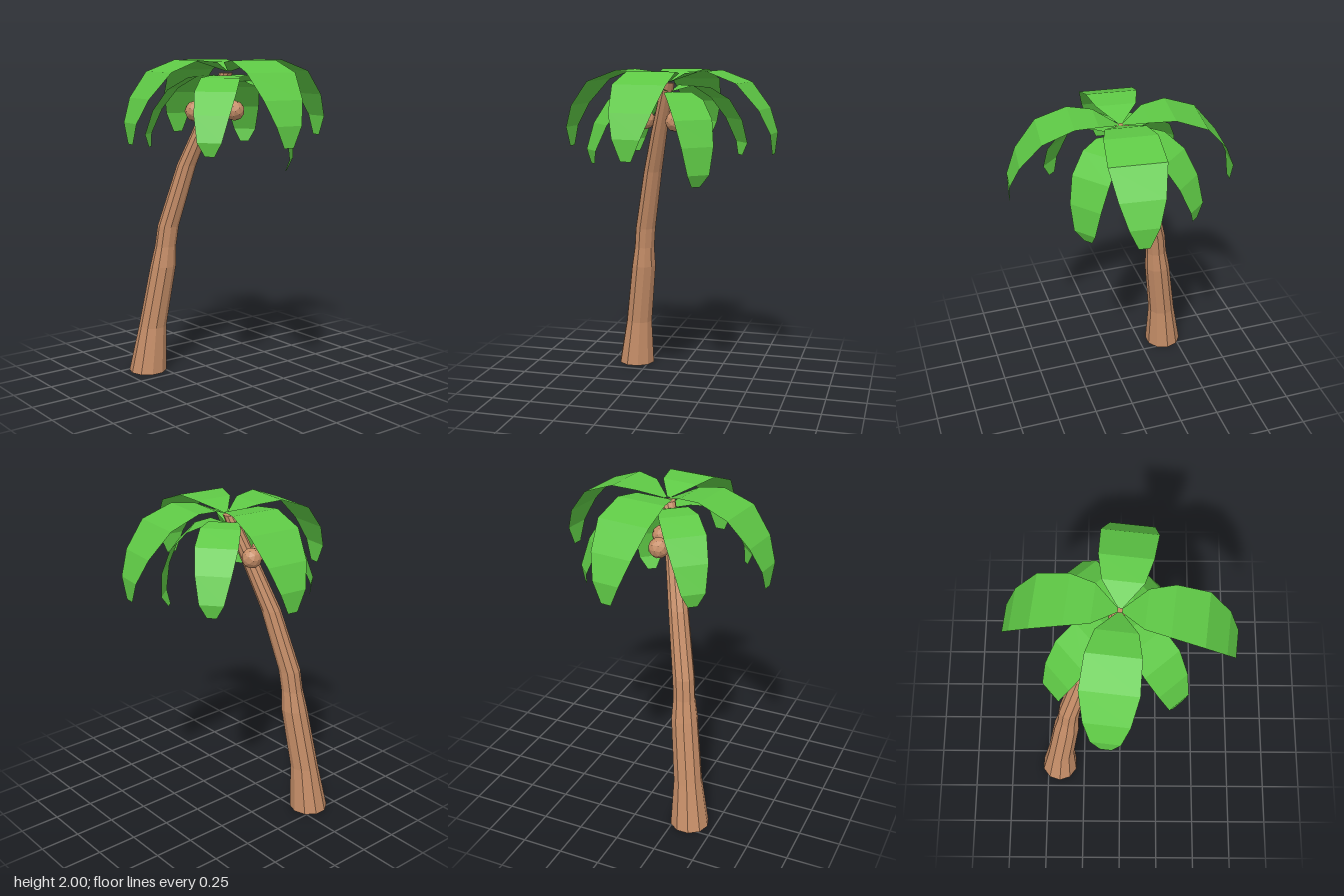
import * as THREE from 'three';

const green = new THREE.MeshStandardMaterial({ color: 0x5ec845, flatShading: true, side: THREE.DoubleSide });
const brown = new THREE.MeshStandardMaterial({ color: 0xc68e68, flatShading: true });

// Trunk rings from the ground up: [x, y, z, radius]
const TRUNK = [
  [-0.42, 0, 0.34, 0.12], [-0.395, 0.3, 0.315, 0.088], [-0.34, 0.7, 0.265, 0.081],
  [-0.325, 0.83, 0.255, 0.067], [-0.31, 0.96, 0.243, 0.067], [-0.215, 1.35, 0.165, 0.06],
  [-0.125, 1.6, 0.1, 0.052], [-0.01, 1.92, 0.01, 0.04],
];

// Frond stations: [distance from the crown, height, half width]
const UPPER = [
  [0.012, 1.93, 0.012], [0.145, 1.985, 0.118], [0.287, 1.998, 0.153], [0.473, 1.93, 0.164],
  [0.6, 1.78, 0.13], [0.66, 1.64, 0.085], [0.66, 1.517, 0.032],
];
const LOWER = [
  [0.01, 1.87, 0.012], [0.11, 1.905, 0.09], [0.22, 1.895, 0.118], [0.35, 1.82, 0.125],
  [0.45, 1.69, 0.105], [0.51, 1.54, 0.072], [0.5, 1.46, 0.028],
];

// A cylinder whose rows are moved onto the leaning rings
function createTrunk() {
  const rows = TRUNK.length - 1;
  const geometry = new THREE.CylinderGeometry(1, 1, 1, 10, rows);
  const p = geometry.attributes.position;
  for (let i = 0; i < p.count; i++) {
    const [x, y, z, r] = TRUNK[Math.round((p.getY(i) + 0.5) * rows)];
    p.setXYZ(i, x + p.getX(i) * r, y, z + p.getZ(i) * r);
  }
  geometry.computeVertexNormals();
  const trunk = new THREE.Mesh(geometry, brown);
  trunk.name = 'trunk';
  return trunk;
}

// A drooping leaf strip along +x, pitched about its root and turned about y
function createFrond(stations, name, turn, pitch = 0) {
  const rootY = stations[0][1];
  const positions = [];
  const index = [];
  stations.forEach(([r, y, w], i) => {
    positions.push(r, y - rootY, -w, r, y - rootY, w);
    if (i > 0) {
      const a = 2 * (i - 1);
      index.push(a, a + 1, a + 2, a + 1, a + 3, a + 2);
    }
  });
  const geometry = new THREE.BufferGeometry();
  geometry.setAttribute('position', new THREE.Float32BufferAttribute(positions, 3));
  geometry.setIndex(index);
  geometry.computeVertexNormals();
  const frond = new THREE.Mesh(geometry, green);
  frond.name = name;
  frond.position.y = rootY;
  frond.rotation.set(0, THREE.MathUtils.degToRad(-turn), THREE.MathUtils.degToRad(-pitch));
  return frond;
}

export function createModel() {
  const model = new THREE.Group();
  model.name = 'palmTree';
  model.add(createTrunk());

  // Two tiers of four fronds; one lower frond hangs more steeply
  const crown = new THREE.Group();
  crown.name = 'crown';
  for (let i = 0; i < 4; i++) {
    crown.add(createFrond(UPPER, 'upperFrond', 6.5 + i * 90));
    crown.add(createFrond(LOWER, 'lowerFrond', 49.5 + i * 90, i === 3 ? 17 : 0));
  }
  model.add(crown);

  // Coconuts clustered round the trunk top
  const nuts = [[-0.19, 1.695, 0.03], [-0.1, 1.69, 0.18], [0.01, 1.69, -0.04]];
  nuts.forEach(([x, y, z], i) => {
    const nut = new THREE.Mesh(new THREE.IcosahedronGeometry(0.062, 1), brown);
    nut.name = 'coconut';
    nut.position.set(x, y, z);
    nut.rotation.y = i;
    model.add(nut);
  });
  return model;
}
